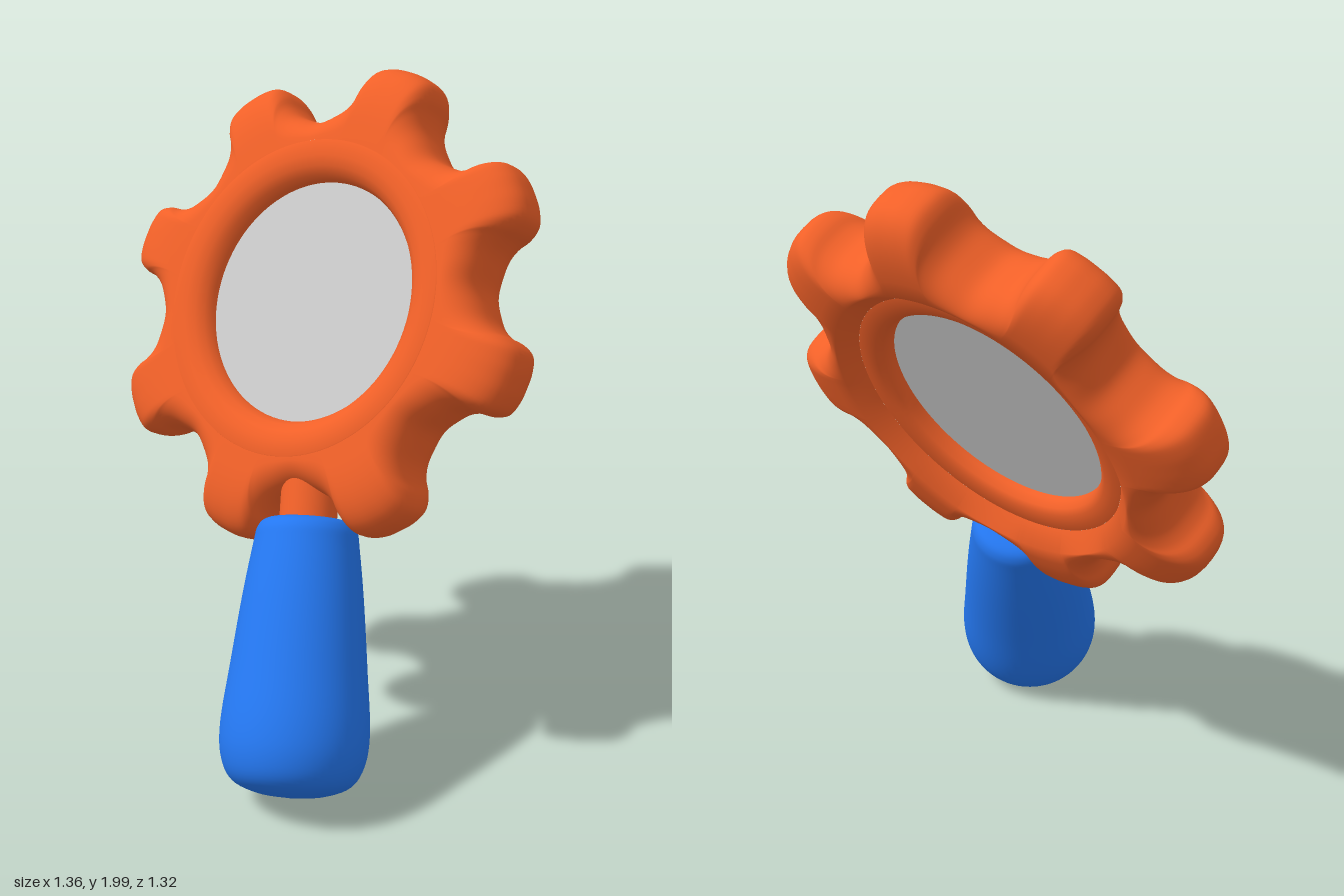
import * as THREE from 'three';

const CENTRE = new THREE.Vector3(0, 1.318, -0.192);
const HALF = 0.136; // half thickness of the gear rim
const INNER = 0.478; // radius where the rim meets the lens ring

const orange = new THREE.MeshStandardMaterial({ color: 0xf06028 });
const blue = new THREE.MeshStandardMaterial({ color: 0x2477f0 });
const grey = new THREE.MeshStandardMaterial({ color: 0xcccccc });

// Closed outline of the eight-toothed rim, a valley pointing straight down
function rimOutline() {
  // Half a tooth as [distance along the tooth, distance to its side]
  const half = [[0.735, 0.045], [0.718, 0.09], [0.68, 0.11], [0.635, 0.115], [0.592, 0.132], [0.555, 0.165]];
  const tooth = [
    ...half.map(([r, s]) => [r, -s]).reverse(),
    [0.738, 0],
    ...half,
    [0.518, 0.2145],
  ];
  const points = [];
  for (let k = 0; k < 8; k++) {
    const angle = (k + 0.5) * Math.PI / 4;
    const cos = Math.cos(angle), sin = Math.sin(angle);
    for (const [r, s] of tooth) {
      points.push(new THREE.Vector3(r * cos - s * sin, r * sin + s * cos, 0));
    }
  }
  return new THREE.CatmullRomCurve3(points, true);
}

// Soft gear: a rounded cross-section swept along the outline
function gearGeometry() {
  const around = 480, across = 28, cols = across + 2, inset = 0.05;
  const outline = rimOutline();
  outline.arcLengthDivisions = 2000;
  const positions = [], index = [];
  const power = (v, e) => Math.sign(v) * Math.abs(v) ** (2 / e);
  for (let i = 0; i < around; i++) {
    const p = outline.getPointAt(i / around);
    const t = outline.getTangentAt(i / around);
    const angle = Math.atan2(p.y, p.x);
    for (let j = 0; j < cols; j++) {
      const phi = Math.PI * (0.5 - j / across);
      const c = Math.max(0, Math.cos(phi));
      const k = power(c, 3.4);
      const bevel = inset * (1 - power(c, 2.4));
      let r = phi > 0 ? INNER : 0.492;
      let x = THREE.MathUtils.lerp(r * Math.cos(angle), p.x - t.y * bevel, k);
      let y = THREE.MathUtils.lerp(r * Math.sin(angle), p.y + t.x * bevel, k);
      let z = HALF * power(Math.sin(phi), 2.8);
      if (j > across) { // slope into the back recess
        r = 0.445;
        x = r * Math.cos(angle);
        y = r * Math.sin(angle);
        z = -0.085;
      }
      positions.push(x, y, z);
      if (j < cols - 1) {
        const a = i * cols + j, b = ((i + 1) % around) * cols + j;
        index.push(a, a + 1, b, a + 1, b + 1, b);
      }
    }
  }
  const geometry = new THREE.BufferGeometry();
  geometry.setAttribute('position', new THREE.Float32BufferAttribute(positions, 3));
  geometry.setIndex(index);
  geometry.computeVertexNormals();
  return geometry;
}

const toVectors = (points) => points.map(([r, y]) => new THREE.Vector2(r, y));

function smoothLathe(points) {
  const profile = new THREE.SplineCurve(toVectors(points)).getPoints(60);
  profile.forEach((p) => { p.x = Math.max(0, p.x); });
  return new THREE.LatheGeometry(profile, 64);
}

export function createModel() {
  const group = new THREE.Group();
  group.name = 'magnifier';
  const tool = new THREE.Group();
  tool.name = 'tiltedTool';
  group.add(tool);

  const add = (name, geometry, material, y = 0, z = 0) => {
    const mesh = new THREE.Mesh(geometry, material);
    mesh.name = name;
    mesh.position.set(0, y, z);
    tool.add(mesh);
  };

  add('gearRim', gearGeometry(), orange);

  // Ring that holds the lens: flat lip in front, shallow step behind
  const ring = new THREE.LatheGeometry(toVectors([
    [0.482, 0.125], [0.477, 0.139], [0.43, 0.137], [0.4, 0.127], [0.378, 0.108], [0.366, 0.085],
    [0.362, 0.06], [0.362, -0.045], [0.372, -0.07], [0.39, -0.082], [0.42, -0.087], [0.445, -0.085],
  ]), 96);
  add('lensRing', ring.rotateX(Math.PI / 2), orange);

  // Lens disc
  const lens = new THREE.CylinderGeometry(0.367, 0.367, 0.1, 72);
  add('lens', lens.rotateX(Math.PI / 2), grey, 0, 0.02);

  // Neck between rim and handle
  add('neck', new THREE.CylinderGeometry(0.085, 0.085, 0.28, 40), orange, -0.6, 0.02);

  // Handle: flares towards a rounded end
  add('handle', smoothLathe([
    [0, -1.455], [0.09, -1.447], [0.17, -1.415], [0.208, -1.35], [0.217, -1.25],
    [0.2, -1.08], [0.178, -0.88], [0.157, -0.73], [0.146, -0.675], [0.118, -0.65],
    [0.06, -0.645], [0, -0.645],
  ]), blue, 0, 0.02);

  // Lean the whole tool back and to one side
  const normal = new THREE.Vector3(-0.355, 0.428, 0.831).normalize();
  const up = new THREE.Vector3(-0.077, 0.865, -0.5);
  up.addScaledVector(normal, -up.dot(normal)).normalize();
  const side = new THREE.Vector3().crossVectors(up, normal);
  tool.quaternion.setFromRotationMatrix(new THREE.Matrix4().makeBasis(side, up, normal));
  tool.position.copy(CENTRE);
  return group;
}
